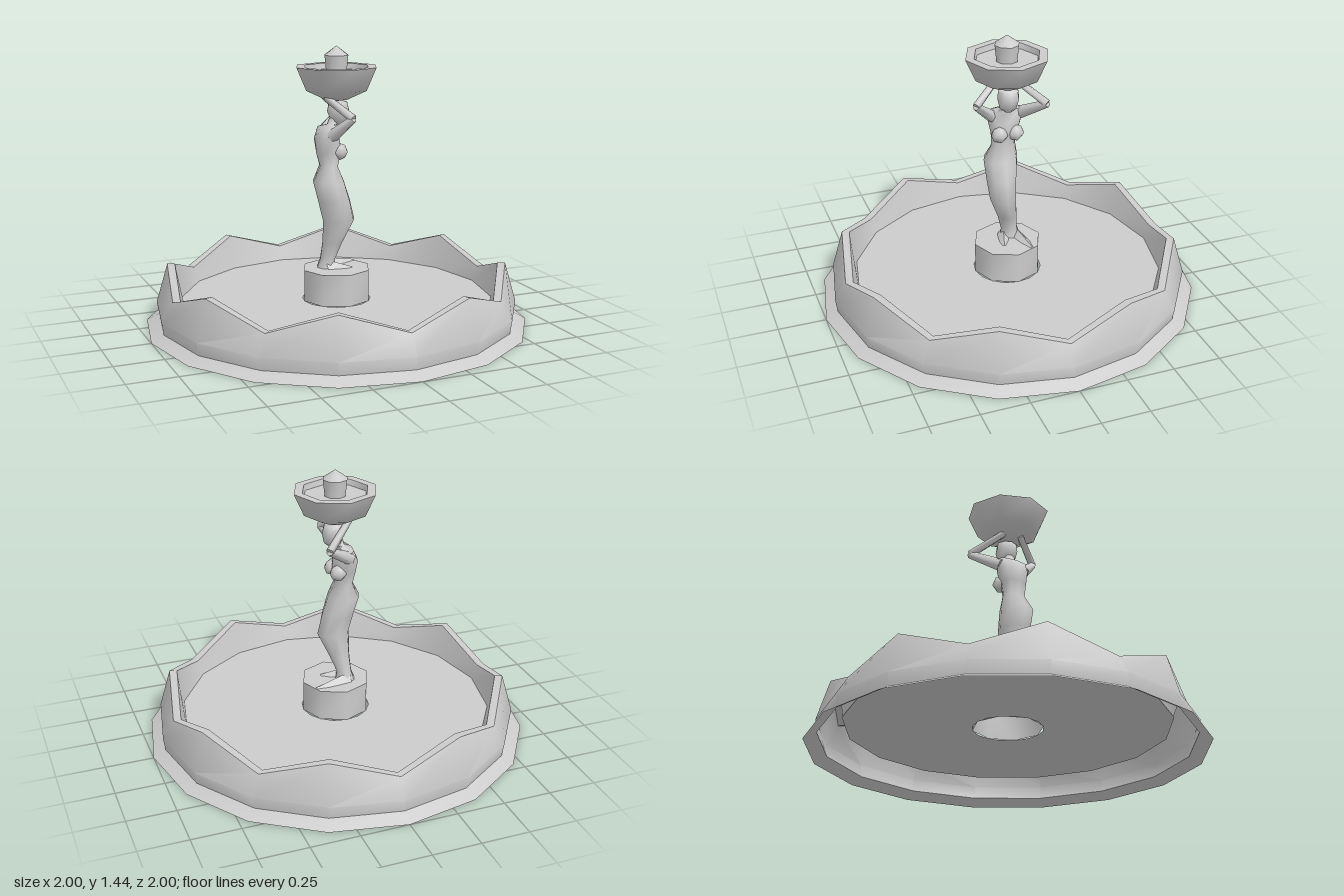
import * as THREE from 'three';
import { toCreasedNormals } from 'three/addons/utils/BufferGeometryUtils.js';

const material = new THREE.MeshStandardMaterial({ color: 0xcccccc, side: THREE.DoubleSide });

function addMesh(parent, name, geometry, crease = 0.9) {
  const mesh = new THREE.Mesh(toCreasedNormals(geometry, crease), material);
  mesh.name = name;
  parent.add(mesh);
  return mesh;
}

// Skin a stack of rings; ring(j, i, angle) returns one point
function skin(rows, sides, point) {
  const positions = [], index = [];
  for (let j = 0; j < rows; j++) {
    for (let i = 0; i < sides; i++) {
      positions.push(...point(j, i, (i / sides) * Math.PI * 2));
      if (j === rows - 1) continue;
      const a = j * sides + i, b = j * sides + (i + 1) % sides;
      index.push(a, b, b + sides, a, b + sides, a + sides);
    }
  }
  const geometry = new THREE.BufferGeometry();
  geometry.setAttribute('position', new THREE.Float32BufferAttribute(positions, 3));
  geometry.setIndex(index);
  return geometry;
}

// Round profile of [radius, y] pairs
const turned = (profile, sides) => skin(profile.length, sides, (j, i, a) =>
  [Math.sin(a) * profile[j][0], profile[j][1], Math.cos(a) * profile[j][0]]);

// Sections of [y, xMin, xMax, zMin, zMax]
const loft = (sections, sides = 8) => skin(sections.length, sides, (j, i, a) => {
  const [y, x0, x1, z0, z1] = sections[j];
  return [(x0 + x1) / 2 + Math.sin(a) * (x1 - x0) / 2, y, (z0 + z1) / 2 + Math.cos(a) * (z1 - z0) / 2];
});

// Tapered limb segment between two points
function limb(parent, name, from, to, r0, r1) {
  const a = new THREE.Vector3(...from), b = new THREE.Vector3(...to);
  const dir = b.clone().sub(a);
  const mesh = addMesh(parent, name, new THREE.CylinderGeometry(r1, r0, dir.length(), 6), 1.2);
  mesh.position.copy(a).add(b).multiplyScalar(0.5);
  mesh.quaternion.setFromUnitVectors(new THREE.Vector3(0, 1, 0), dir.normalize());
}

function createBasin() {
  const basin = new THREE.Group();
  basin.name = 'basin';
  // Sixteen-sided wall whose rim alternates between valleys and peaks
  const RIM = null;
  const wall = [[1, 0], [0.935, 0.035], [0.945, 0.1], [0.885, RIM], [0.845, RIM], [0.815, 0.12]];
  addMesh(basin, 'basinWall', skin(wall.length, 16, (j, i, a) => {
    const [r, y] = wall[j];
    return [Math.sin(a) * r, y === RIM ? (i % 2 ? 0.305 : 0.197) : y, Math.cos(a) * r];
  }), 0.75);
  // Water surface with an opening under the pedestal
  addMesh(basin, 'water', turned([[0.82, 0.12], [0.178, 0.12]], 16));
  return basin;
}

function createBowl() {
  const bowl = new THREE.Group();
  bowl.name = 'bowl';
  addMesh(bowl, 'bowlShell', turned(
    [[0, 1.16], [0.06, 1.17], [0.165, 1.22], [0.217, 1.338], [0.172, 1.338], [0.165, 1.305]], 8));
  addMesh(bowl, 'bowlWater', turned([[0.168, 1.308], [0, 1.308]], 8));
  addMesh(bowl, 'finial', turned([[0.055, 1.3], [0.065, 1.395], [0, 1.442]], 8), 0.8);
  return bowl;
}

function createFigure() {
  const figure = new THREE.Group();
  figure.name = 'figure';
  // Draped body from ankles to neck
  addMesh(figure, 'body', loft([
    [0.285, -0.095, 0.01, -0.085, 0.025],
    [0.33, -0.08, 0.0, -0.07, 0.02],
    [0.42, -0.075, 0.035, -0.062, 0.045],
    [0.545, -0.085, 0.09, -0.045, 0.095],
    [0.65, -0.11, 0.065, -0.06, 0.105],
    [0.75, -0.135, 0.033, -0.075, 0.11],
    [0.83, -0.092, 0.0, -0.06, 0.07],
    [0.9, -0.112, 0.02, -0.07, 0.072],
    [0.965, -0.115, 0.015, -0.098, 0.085],
    [1.025, -0.085, -0.01, -0.1, 0.085],
    [1.04, -0.05, 0.0, -0.035, 0.03],
    [1.08, -0.035, 0.02, -0.03, 0.025],
  ]), 1.2);
  for (const z of [-0.045, 0.04]) {
    const bust = addMesh(figure, 'bust', new THREE.OctahedronGeometry(0.045, 1), 1.2);
    bust.position.set(0, 0.905, z);
  }
  // Head with hair
  addMesh(figure, 'head', loft([
    [1.035, 0.005, 0.03, -0.02, 0.015],
    [1.06, -0.03, 0.06, -0.045, 0.045],
    [1.11, -0.05, 0.072, -0.06, 0.055],
    [1.155, -0.04, 0.06, -0.055, 0.052],
    [1.17, 0, 0.01, -0.01, 0.01],
  ], 8), 1.2);
  // Raised arms holding the bowl
  const arms = {
    rightArm: [[-0.05, 0.99, -0.075], [0.095, 1.085, -0.18], [-0.05, 1.185, -0.055]],
    leftArm: [[-0.05, 0.99, 0.06], [0.02, 1.09, 0.17], [-0.07, 1.185, 0.03]],
  };
  for (const [name, [shoulder, elbow, hand]] of Object.entries(arms)) {
    const arm = new THREE.Group();
    arm.name = name;
    limb(arm, 'upperArm', shoulder, elbow, 0.034, 0.02);
    limb(arm, 'forearm', elbow, hand, 0.021, 0.018);
    figure.add(arm);
  }
  // Pointed feet
  for (const [z, toe, toeZ] of [[-0.055, 0.14, -0.09], [0.0, 0.07, 0.04]]) {
    addMesh(figure, 'foot', skin(4, 4, (j, i, a) => {
      const t = j / 3, r = [0.034, 0.03, 0.024, 0.006][j];
      return [-0.06 + t * (toe + 0.06), 0.286 + Math.max(0, Math.sin(a)) * (0.045 - 0.04 * t),
        z + t * (toeZ - z) + Math.cos(a) * r];
    }));
  }
  return figure;
}

export function createModel() {
  const model = new THREE.Group();
  model.name = 'fountain';
  model.add(createBasin());
  // Hollow pedestal, open below
  addMesh(model, 'pedestal', turned([[0.18, 0.12], [0.18, 0.285], [0, 0.285]], 8));
  model.add(createFigure(), createBowl());
  return model;
}
